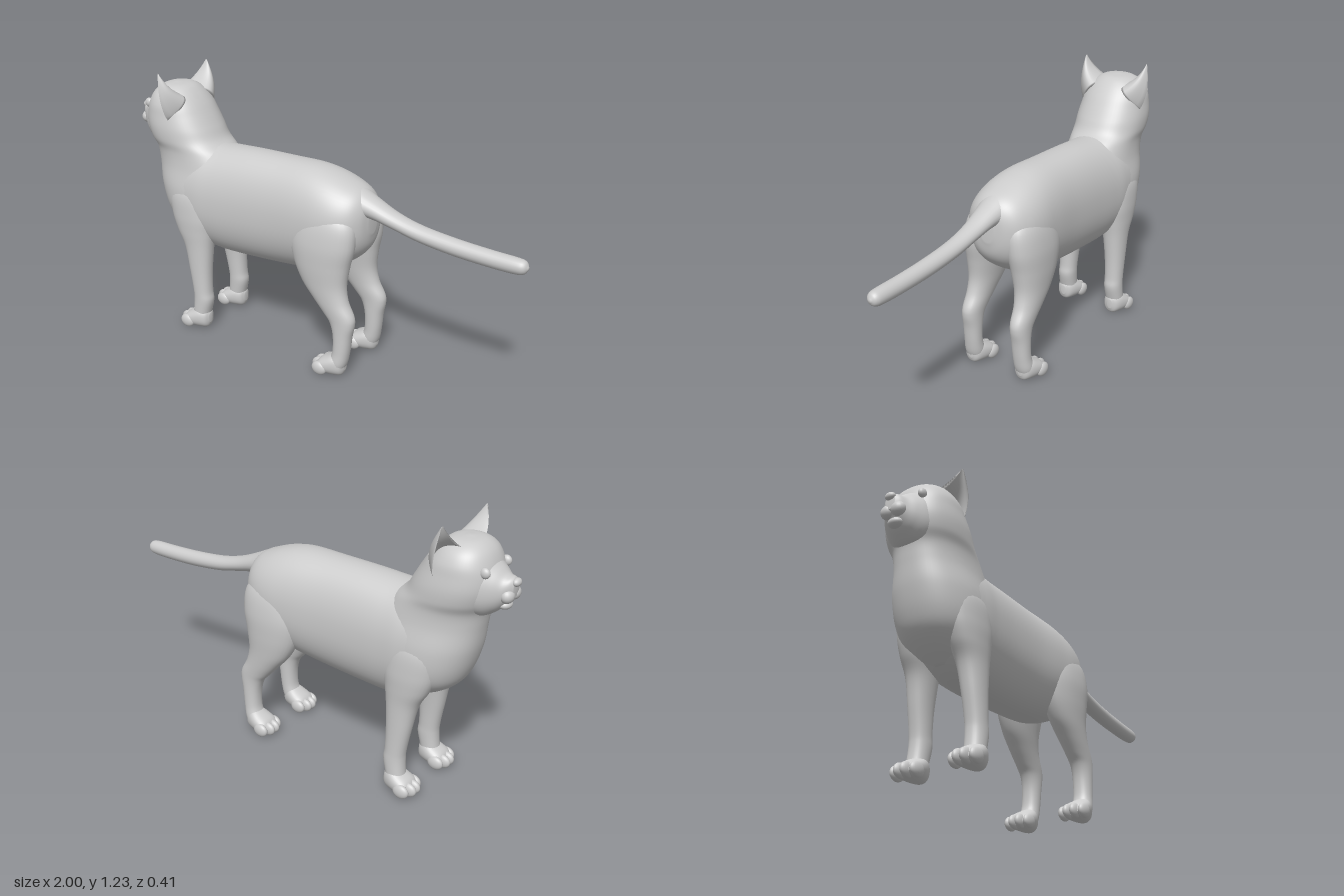
import * as THREE from 'three';

const material = new THREE.MeshStandardMaterial({ color: 0xcccccc, side: THREE.DoubleSide });

// Smooth closed skin over a list of equally sized rings, capped at both ends
function skin(name, rings) {
  const n = rings[0].length, m = rings.length, pos = [], idx = [];
  rings.forEach((r) => r.forEach((p) => pos.push(p.x, p.y, p.z)));
  for (let i = 0; i < m - 1; i++) {
    for (let j = 0; j < n; j++) {
      const a = i * n + j, b = i * n + (j + 1) % n;
      idx.push(a, b, a + n, b, b + n, a + n);
    }
  }
  [0, m - 1].forEach((row, end) => {
    const c = new THREE.Vector3();
    rings[row].forEach((p) => c.addScaledVector(p, 1 / n));
    pos.push(c.x, c.y, c.z);
    for (let j = 0; j < n; j++) {
      const a = row * n + j, b = row * n + (j + 1) % n;
      if (end) idx.push(n * m + 1, a, b);
      else idx.push(n * m, b, a);
    }
  });
  const geo = new THREE.BufferGeometry();
  geo.setAttribute('position', new THREE.Float32BufferAttribute(pos, 3));
  geo.setIndex(idx);
  geo.computeVertexNormals();
  const mesh = new THREE.Mesh(geo, material);
  mesh.name = name;
  return mesh;
}

// Loft of rounded sections. Each section: [position on axis, low, high, half width, z centre].
// Axis 'x' runs forwards along +x, axis 'y' runs from the top down.
function loft(name, axis, sections, { side = 1, power = 2.2, around = 40 } = {}) {
  const outline = new THREE.CatmullRomCurve3(
    sections.map((s) => new THREE.Vector3(s[0], s[1], s[2])), false, 'catmullrom', 0.5);
  const width = new THREE.CatmullRomCurve3(
    sections.map((s) => new THREE.Vector3(s[3], s[4] || 0, 0)), false, 'catmullrom', 0.5);
  const steps = (sections.length - 1) * 6, rings = [];
  const round = (v) => Math.sign(v) * Math.pow(Math.abs(v), 2 / power);
  for (let i = 0; i <= steps; i++) {
    const o = outline.getPoint(i / steps), w = width.getPoint(i / steps), ring = [];
    for (let j = 0; j < around; j++) {
      const t = (j / around) * Math.PI * 2;
      const a = (o.y + o.z) / 2 + ((o.z - o.y) / 2) * round(Math.cos(t));
      const z = side * w.y + w.x * round(Math.sin(t));
      ring.push(axis === 'x' ? new THREE.Vector3(o.x, a, z) : new THREE.Vector3(a, o.x, z));
    }
    rings.push(ring);
  }
  return skin(name, rings);
}

function ellipsoid(name, x, y, z, rx, ry, rz, tilt = 0) {
  const mesh = new THREE.Mesh(new THREE.SphereGeometry(1, 24, 16), material);
  mesh.name = name;
  mesh.position.set(x, y, z);
  mesh.scale.set(rx, ry, rz);
  mesh.rotation.z = tilt;
  return mesh;
}

// Hollow pointed ear: crescent sections shrinking towards the tip
function ear(side) {
  const v = (x, y, z) => new THREE.Vector3(x, y, z * side);
  const inner = v(-0.805, 1.12, 0.055), outer = v(-0.715, 1.02, 0.155), tip = v(-0.75, 1.238, 0.167);
  const back = new THREE.QuadraticBezierCurve3(inner, v(-0.575, 1.15, 0.06), outer);
  const hollow = new THREE.QuadraticBezierCurve3(outer, v(-0.63, 1.13, 0.075), inner);
  const base = [...back.getPoints(14).slice(0, 14), ...hollow.getPoints(14).slice(0, 14)];
  if (side > 0) base.reverse();
  const rings = [];
  for (let i = 0; i <= 14; i++) {
    const h = i / 14, keep = 1 - Math.pow(h, 1.25);
    rings.push(base.map((p) => {
      const q = tip.clone().lerp(p, Math.max(keep, 0.03));
      q.z += side * 0.022 * Math.sin(Math.PI * h);
      return q;
    }));
  }
  return skin('ear', rings);
}

// Paw with four toes, pointing to -x
function paw(x, side) {
  const g = new THREE.Group();
  g.name = 'paw';
  const z = side * 0.137;
  g.add(loft('pawBody', 'x', [
    [x + 0.025, 0.015, 0.045, 0.035, 0.137], [x + 0.045, 0.006, 0.072, 0.055, 0.137],
    [x + 0.08, 0.003, 0.092, 0.058, 0.137], [x + 0.12, 0.003, 0.11, 0.05, 0.137],
    [x + 0.15, 0.01, 0.1, 0.035, 0.137], [x + 0.163, 0.035, 0.08, 0.012, 0.137]], { side }));
  [-1.5, -0.5, 0.5, 1.5].forEach((k) => {
    const setBack = Math.abs(k) > 1 ? 0.018 : 0;
    g.add(ellipsoid('toe', x + 0.038 + setBack, 0.033, z + k * 0.032, 0.038, 0.032, 0.0195));
  });
  return g;
}

export function createModel() {
  const cat = new THREE.Group();
  cat.name = 'cat';

  // Body and rump
  cat.add(loft('torso', 'x', [
    [-0.76, 0.56, 0.8, 0.1], [-0.68, 0.47, 0.88, 0.165], [-0.58, 0.415, 0.905, 0.18],
    [-0.48, 0.398, 0.908, 0.176], [-0.34, 0.4, 0.915, 0.17], [-0.16, 0.412, 0.918, 0.168],
    [0, 0.432, 0.918, 0.176], [0.1, 0.46, 0.902, 0.178], [0.18, 0.5, 0.876, 0.164],
    [0.24, 0.545, 0.848, 0.132], [0.275, 0.595, 0.81, 0.085], [0.29, 0.66, 0.76, 0.03]], { around: 56 }));

  // Skull, neck and chest in one sweep
  cat.add(loft('headAndChest', 'y', [
    [1.163, -0.79, -0.77, 0.012], [1.154, -0.84, -0.71, 0.072], [1.125, -0.878, -0.67, 0.118],
    [1.08, -0.902, -0.632, 0.146], [1.03, -0.915, -0.6, 0.157], [0.975, -0.915, -0.568, 0.165],
    [0.92, -0.9, -0.535, 0.164], [0.87, -0.877, -0.475, 0.156], [0.8, -0.865, -0.43, 0.16],
    [0.7, -0.85, -0.42, 0.177], [0.6, -0.82, -0.42, 0.175], [0.53, -0.78, -0.45, 0.15],
    [0.475, -0.71, -0.48, 0.1], [0.44, -0.64, -0.53, 0.04]], { around: 56 }));

  // Face
  cat.add(loft('muzzle', 'x', [
    [-0.985, 0.965, 1.03, 0.022], [-0.97, 0.95, 1.04, 0.04], [-0.945, 0.915, 1.045, 0.06],
    [-0.915, 0.885, 1.07, 0.084], [-0.87, 0.86, 1.1, 0.112], [-0.8, 0.86, 1.11, 0.14]]));
  cat.add(ellipsoid('nose', -0.984, 1.022, 0, 0.017, 0.017, 0.024));
  cat.add(ellipsoid('chin', -0.945, 0.922, 0, 0.027, 0.02, 0.034));

  // Tail
  cat.add(loft('tail', 'x', [
    [0.14, 0.72, 0.88, 0.085], [0.22, 0.73, 0.858, 0.075], [0.3, 0.728, 0.82, 0.058],
    [0.4, 0.706, 0.778, 0.046], [0.52, 0.678, 0.748, 0.041], [0.68, 0.658, 0.73, 0.038],
    [0.84, 0.65, 0.721, 0.036], [0.95, 0.65, 0.718, 0.034], [0.985, 0.658, 0.711, 0.026],
    [1.0, 0.679, 0.69, 0.006]], { power: 2, around: 24 }));

  for (const side of [1, -1]) {
    cat.add(ear(side));
    cat.add(ellipsoid('eye', -0.893, 1.06, side * 0.083, 0.022, 0.022, 0.016));
    cat.add(ellipsoid('whiskerPad', -0.962, 0.968, side * 0.025, 0.028, 0.03, 0.032));

    // Front leg with shoulder
    cat.add(loft('frontLeg', 'y', [
      [0.76, -0.69, -0.56, 0.04, 0.1], [0.68, -0.745, -0.51, 0.072, 0.108],
      [0.58, -0.735, -0.495, 0.074, 0.115], [0.5, -0.705, -0.505, 0.066, 0.12],
      [0.42, -0.662, -0.516, 0.056, 0.124], [0.3, -0.636, -0.524, 0.047, 0.13],
      [0.2, -0.618, -0.524, 0.043, 0.133], [0.15, -0.615, -0.519, 0.043, 0.134],
      [0.09, -0.62, -0.532, 0.042, 0.136], [0.04, -0.63, -0.545, 0.042, 0.137],
      [0.012, -0.62, -0.56, 0.03, 0.137]], { side, around: 32 }));
    cat.add(paw(-0.692, side));

    // Hind leg with thigh and hock
    cat.add(loft('hindLeg', 'y', [
      [0.8, 0.06, 0.18, 0.035, 0.085], [0.72, -0.02, 0.255, 0.072, 0.1],
      [0.62, -0.05, 0.265, 0.08, 0.113], [0.52, -0.03, 0.245, 0.074, 0.119],
      [0.43, 0.015, 0.234, 0.062, 0.124], [0.36, 0.075, 0.248, 0.052, 0.128],
      [0.3, 0.13, 0.28, 0.045, 0.13], [0.26, 0.165, 0.284, 0.042, 0.131],
      [0.2, 0.184, 0.272, 0.041, 0.132], [0.12, 0.185, 0.262, 0.041, 0.134],
      [0.06, 0.165, 0.25, 0.043, 0.137], [0.012, 0.17, 0.225, 0.03, 0.137]], { side, around: 32 }));
    cat.add(paw(0.083, side));
  }
  return cat;
}
